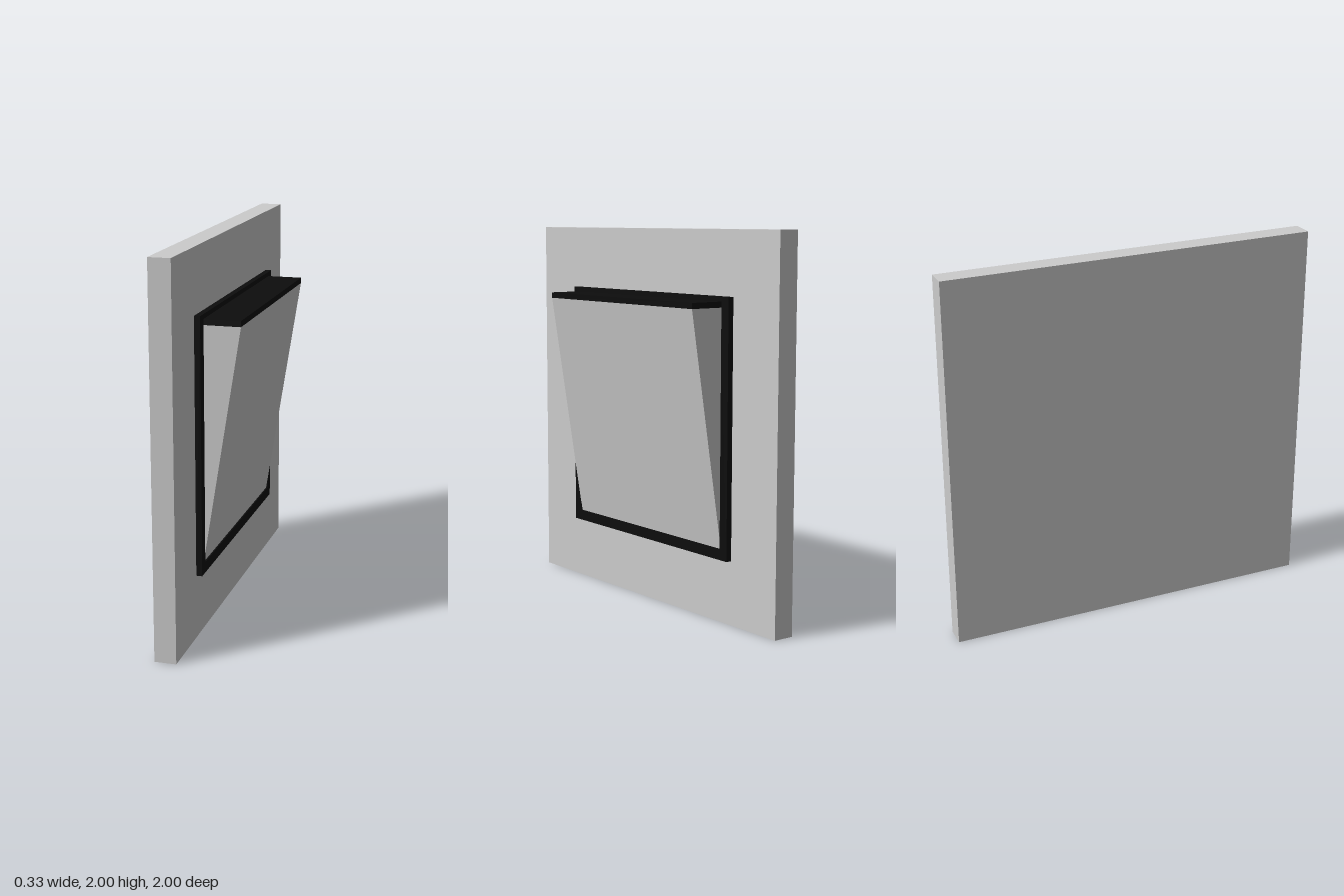
import * as THREE from 'three';

export function createModel() {
  const model = new THREE.Group();
  const grey = new THREE.MeshStandardMaterial({ color: 0xcccccc, flatShading: true });
  const black = new THREE.MeshStandardMaterial({ color: 0x0d0d0d, flatShading: true });

  const add = (name, geometry, material) => {
    const mesh = new THREE.Mesh(geometry, material);
    mesh.name = name;
    model.add(mesh);
    return mesh;
  };
  // Box given by its limits; z is symmetric
  const box = (name, x0, x1, y0, y1, halfZ, material) =>
    add(name, new THREE.BoxGeometry(x1 - x0, y1 - y0, halfZ * 2), material)
      .position.set((x0 + x1) / 2, (y0 + y1) / 2, 0);

  // Wall plate
  box('wallPlate', -0.168, -0.055, 0, 2, 1, grey);

  // Square frame with an opening, standing in the yz plane
  const square = (Type, r) => new Type([[-r, -r], [r, -r], [r, r], [-r, r]]
    .map(([x, y]) => new THREE.Vector2(x, y)));
  const frameShape = square(THREE.Shape, 0.667);
  frameShape.holes.push(square(THREE.Path, 0.611));
  const frame = add('frame',
    new THREE.ExtrudeGeometry(frameShape, { depth: 0.031, bevelEnabled: false }), black);
  frame.rotation.y = Math.PI / 2;
  frame.position.set(-0.055, 1.002, 0);

  // Tilted rocker: a wedge profile extruded along z
  const halfZ = 0.613;
  const profile = new THREE.Shape([[-0.05, 0.391], [-0.032, 0.391], [0.164, 1.615], [-0.05, 1.615]]
    .map(([x, y]) => new THREE.Vector2(x, y)));
  const rocker = new THREE.ExtrudeGeometry(profile, { depth: halfZ * 2, bevelEnabled: false });
  add('rocker', rocker.translate(0, 0, -halfZ), grey);

  // Dark strip on top of the rocker
  box('rockerTop', -0.05, 0.164, 1.615, 1.645, halfZ, black);

  return model;
}
